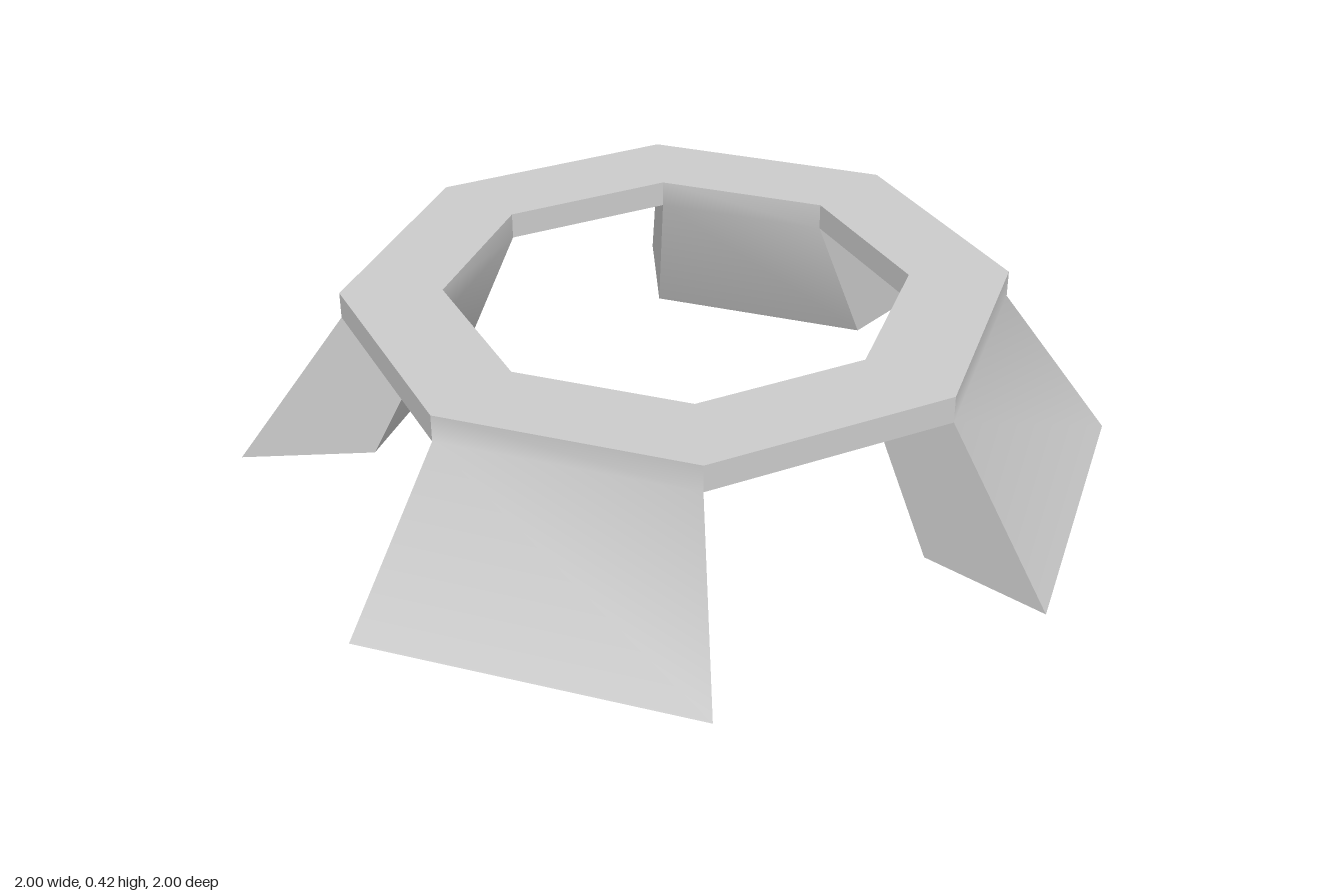
import * as THREE from 'three';
import { toCreasedNormals } from 'three/addons/utils/BufferGeometryUtils.js';

const STEP = Math.PI / 4; // eight sides
const TOP = 0.418, UNDER = 0.357;
const INNER = 0.518, OUTER = 0.744;

// Cross-sections as [radius, height], from the inner top edge outwards
const ringProfile = [[INNER, TOP], [OUTER, TOP], [OUTER, UNDER], [INNER, UNDER]];
const legProfile = [[INNER, TOP], [OUTER, TOP], [OUTER, UNDER], [1, 0], [0.697, 0], [INNER, UNDER]];

// Sweeps a cross-section over one side of the octagon; ends lists the corners of the exposed end faces
function sector(profile, start, ends = null) {
  const at = (i, a) => {
    const [r, y] = profile[i % profile.length];
    return [r * Math.sin(a), y, r * Math.cos(a)];
  };
  const pos = [];
  const quad = (a, b, c, d) => pos.push(...a, ...b, ...c, ...a, ...c, ...d);
  const end = start + STEP;
  for (let i = 0; i < profile.length; i++) {
    quad(at(i, start), at(i + 1, start), at(i + 1, end), at(i, end));
  }
  if (ends) {
    quad(...ends.map((i) => at(i, end)));
    quad(...[...ends].reverse().map((i) => at(i, start)));
  }
  const geometry = new THREE.BufferGeometry();
  geometry.setAttribute('position', new THREE.Float32BufferAttribute(pos, 3));
  // Soft bend where the leg flows into the rim, sharp edges elsewhere
  return toCreasedNormals(geometry, THREE.MathUtils.degToRad(40));
}

export function createModel() {
  const group = new THREE.Group();
  group.name = 'octagonalStand';
  const material = new THREE.MeshStandardMaterial({ color: 0xcccccc });

  // Alternate sides: rim with a splayed leg, then plain rim
  for (let k = 0; k < 8; k++) {
    const hasLeg = k % 2 === 0;
    const geometry = hasLeg
      ? sector(legProfile, k * STEP, [2, 3, 4, 5])
      : sector(ringProfile, k * STEP);
    const mesh = new THREE.Mesh(geometry, material);
    mesh.name = hasLeg ? 'rimWithLeg' : 'rimSegment';
    group.add(mesh);
  }
  return group;
}
